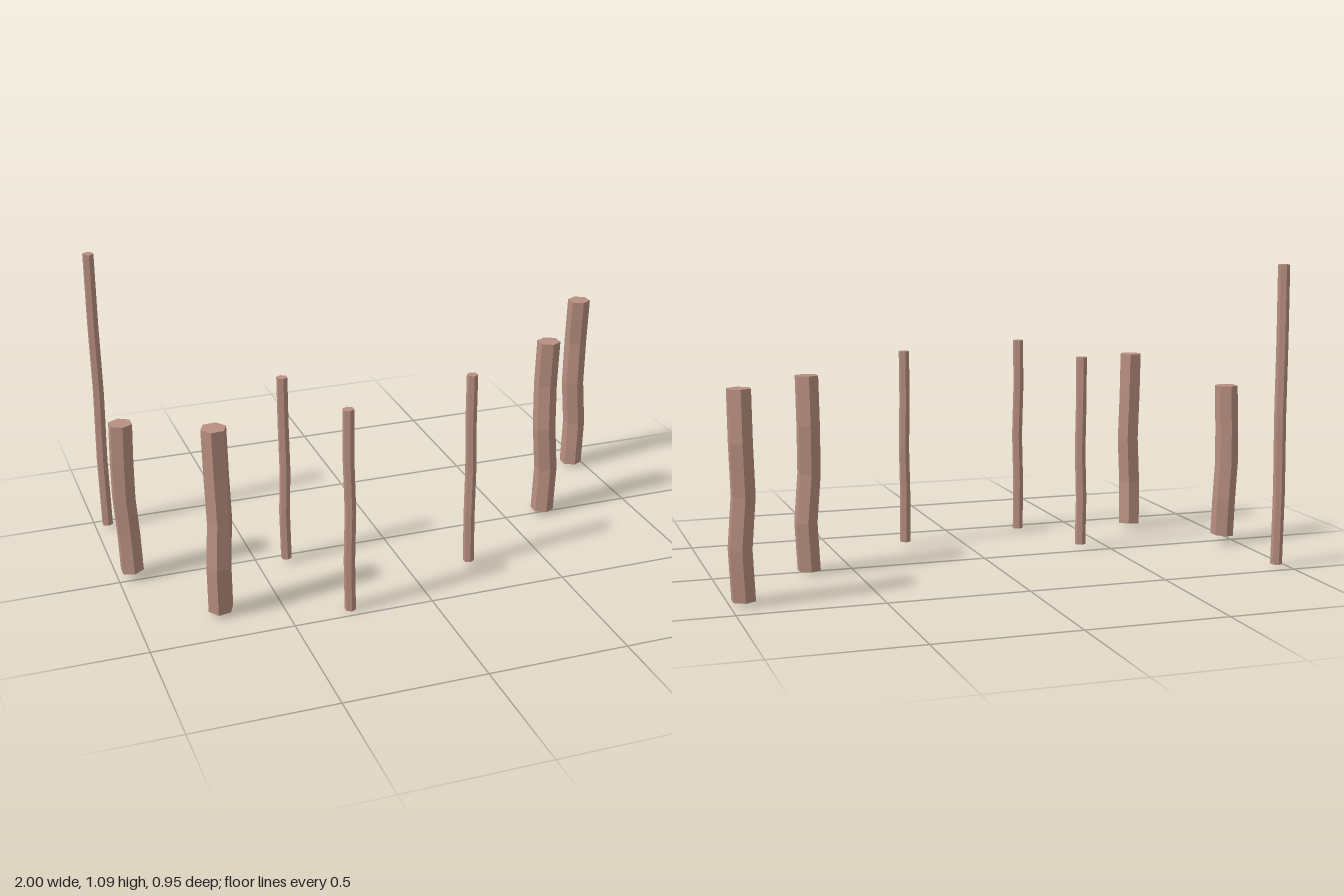
import * as THREE from 'three';

const wood = new THREE.MeshStandardMaterial({ color: 0xb88f80, flatShading: true });
const moss = new THREE.MeshStandardMaterial({ color: 0x77754f, flatShading: true });

const SIDES = 6;

// Each post: radius, bottom and top height, turn of the hexagon, tilt of the
// bottom cut [per x, per z] and five [x, z] ring centres from bottom to top
const posts = [
  { name: 'thickPostFarRight', r: 0.043, y0: 0.03, y1: 0.605, turn: 0, tilt: [0.1, 0],
    path: [[-0.947, -0.028], [-0.951, -0.032], [-0.960, -0.031], [-0.960, -0.025], [-0.957, -0.02]] },
  { name: 'thickPostRight', r: 0.045, y0: 0.018, y1: 0.697, turn: 0.63, tilt: [0.06, -0.1],
    path: [[-0.714, 0.328], [-0.717, 0.338], [-0.707, 0.334], [-0.711, 0.331], [-0.714, 0.332]] },
  { name: 'thickPostLeft', r: 0.043, y0: 0.01, y1: 0.704, turn: 0, tilt: [0, 0],
    path: [[0.658, -0.014], [0.668, -0.017], [0.653, -0.012], [0.655, -0.02], [0.656, -0.008]] },
  { name: 'thickPostFarLeft', r: 0.043, y0: 0.012, y1: 0.715, turn: 0, tilt: [0, 0],
    path: [[0.952, -0.367], [0.961, -0.372], [0.947, -0.371], [0.953, -0.375], [0.953, -0.361]] },
  { name: 'tallThinPost', r: 0.021, y0: 0.012, y1: 1.085, turn: 0, tilt: [0, 0],
    path: [[-0.955, -0.451], [-0.958, -0.453], [-0.953, -0.456], [-0.956, -0.453], [-0.955, -0.452]] },
  { name: 'thinPostMiddle', r: 0.02, y0: 0.016, y1: 0.725, turn: 0, tilt: [0, 0],
    path: [[-0.395, 0.048], [-0.397, 0.046], [-0.392, 0.048], [-0.394, 0.046], [-0.395, 0.049]] },
  { name: 'thinPostFront', r: 0.02, y0: 0, y1: 0.752, turn: 0, tilt: [0, 0],
    path: [[-0.287, 0.454], [-0.289, 0.455], [-0.284, 0.456], [-0.288, 0.453], [-0.287, 0.455]] },
  { name: 'thinPostLeft', r: 0.02, y0: 0.016, y1: 0.743, turn: 0, tilt: [0, 0],
    path: [[0.222, 0.292], [0.220, 0.294], [0.225, 0.289], [0.221, 0.291], [0.222, 0.292]] },
];

// Hexagonal post whose rings follow a slightly crooked path
function createPost({ name, r, y0, y1, turn, tilt, path }) {
  const rows = path.length - 1;
  const geometry = new THREE.CylinderGeometry(r, r, 1, SIDES, rows);
  geometry.rotateY(turn);
  const p = geometry.attributes.position;
  for (let i = 0; i < p.count; i++) {
    const t = p.getY(i) + 0.5;
    const [cx, cz] = path[Math.round(t * rows)];
    const x = p.getX(i), z = p.getZ(i);
    const cut = t < 0.01 ? tilt[0] * x + tilt[1] * z : 0;
    p.setXYZ(i, cx + x, y0 + (y1 - y0) * t + cut, cz + z);
  }
  geometry.computeVertexNormals();

  // groups: 0 side, 1 top cap, 2 bottom cap
  const mesh = new THREE.Mesh(geometry, [wood, wood, moss]);
  mesh.name = name;
  return mesh;
}

export function createModel() {
  const group = new THREE.Group();
  group.name = 'woodenPosts';
  for (const post of posts) group.add(createPost(post));
  return group;
}
